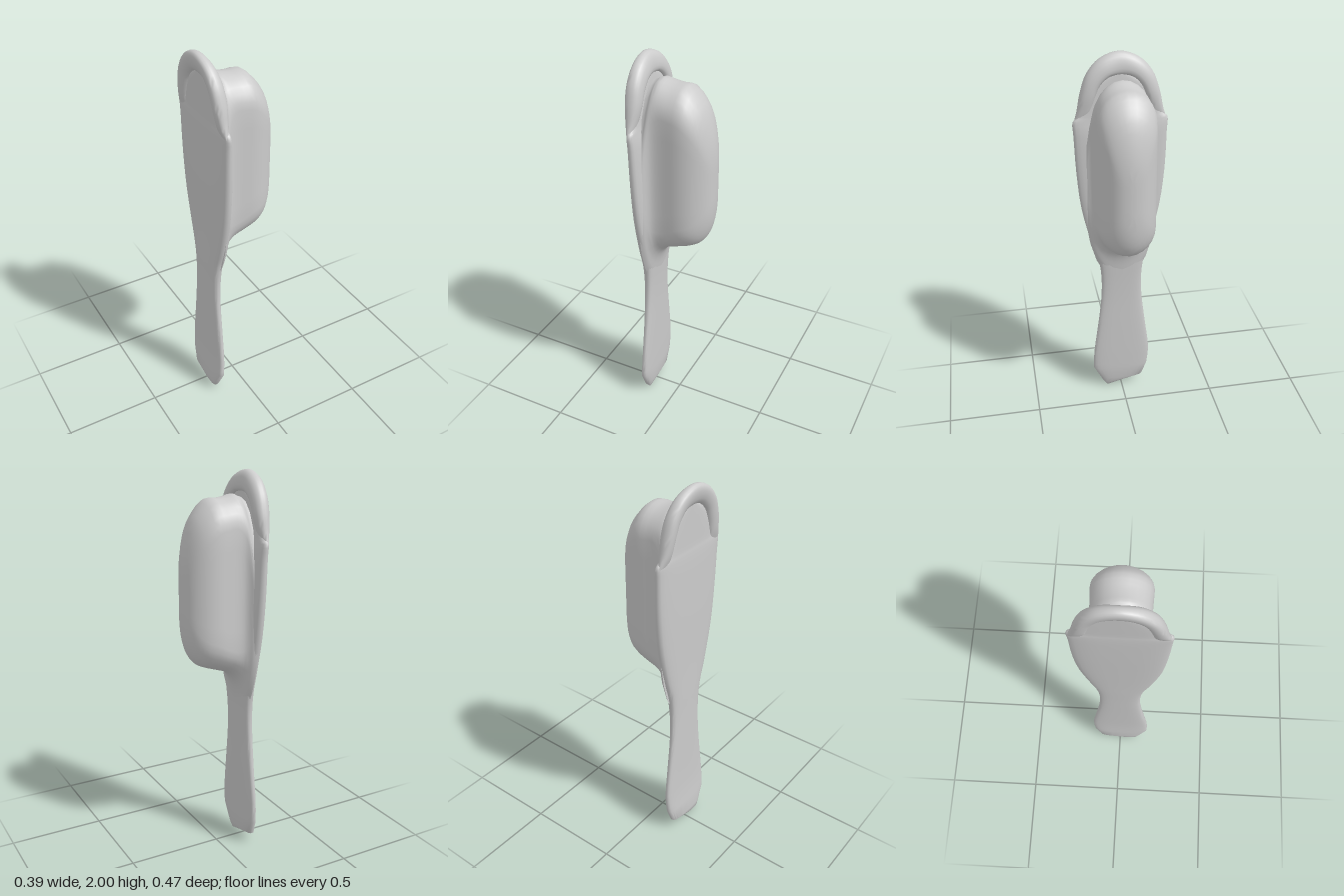
import * as THREE from 'three';
import { toCreasedNormals } from 'three/addons/utils/BufferGeometryUtils.js';

const material = new THREE.MeshStandardMaterial({ color: 0xcccccc });

// Catmull-Rom interpolation through rows of numbers, n steps per span
function smooth(rows, n) {
  const out = [];
  const at = (i) => rows[Math.min(Math.max(i, 0), rows.length - 1)];
  for (let i = 0; i < rows.length - 1; i++) {
    for (let s = 0; s < n; s++) {
      const t = s / n;
      out.push(rows[i].map((b, k) => {
        const a = at(i - 1)[k], c = at(i + 1)[k], d = at(i + 2)[k];
        return b + 0.5 * t * (c - a + t * (2 * a - 5 * b + 4 * c - d + t * (3 * (b - c) + d - a)));
      }));
    }
  }
  out.push(rows[rows.length - 1]);
  return out;
}

// Skin over closed rings, each counter-clockwise seen from the far end, with both ends capped
function loft(name, rings, crease) {
  const n = rings[0].length, index = [];
  const points = rings.flat();
  for (let i = 0; i < rings.length - 1; i++) {
    for (let j = 0; j < n; j++) {
      const a = i * n + j, b = i * n + (j + 1) % n;
      index.push(a, b, b + n, a, b + n, a + n);
    }
  }
  [0, rings.length - 1].forEach((r, end) => {
    const centre = new THREE.Vector3();
    rings[r].forEach((p) => centre.addScaledVector(p, 1 / n));
    points.push(centre);
    for (let j = 0; j < n; j++) {
      const a = r * n + j, b = r * n + (j + 1) % n;
      if (end) index.push(points.length - 1, a, b);
      else index.push(points.length - 1, b, a);
    }
  });
  const geometry = new THREE.BufferGeometry().setFromPoints(points);
  geometry.setIndex(index);
  const mesh = new THREE.Mesh(toCreasedNormals(geometry, crease), material);
  mesh.name = name;
  return mesh;
}

// One ring of n points; power below 1 squares the oval off
function ring(n, power, place) {
  return Array.from({ length: n }, (_, j) => {
    const a = (j / n) * Math.PI * 2;
    const c = Math.cos(a), s = Math.sin(a);
    return place(Math.sign(c) * Math.abs(c) ** power, Math.sign(s) * Math.abs(s) ** power);
  });
}

// Flat back plate running down into the handle: y, z left, z right, x back, x front
function backAndHandle() {
  const tip = [
    [0.005, 0.085, 0.07, -0.158, -0.15],
    [0.03, 0.105, -0.01, -0.18, -0.14],
    [0.06, 0.12, -0.12, -0.184, -0.132],
  ];
  const body = [
    [0.14, 0.16, -0.15, -0.178, -0.128],
    [0.26, 0.157, -0.158, -0.171, -0.125],
    [0.45, 0.132, -0.135, -0.169, -0.122],
    [0.62, 0.112, -0.115, -0.169, -0.12],
    [0.76, 0.108, -0.11, -0.169, -0.115],
    [0.88, 0.122, -0.122, -0.17, -0.108],
    [1.0, 0.16, -0.155, -0.17, -0.105],
    [1.2, 0.205, -0.202, -0.172, -0.105],
    [1.4, 0.225, -0.225, -0.174, -0.106],
    [1.6, 0.233, -0.232, -0.174, -0.112],
    [1.67, 0.235, -0.235, -0.172, -0.122],
    [1.7, 0.205, -0.205, -0.17, -0.125],
    [1.78, 0.17, -0.17, -0.17, -0.13],
    [1.86, 0.11, -0.11, -0.17, -0.135],
    [1.91, 0.03, -0.03, -0.17, -0.14],
  ];
  const rings = [...tip, ...smooth(body, 3)].map(([y, l, r, b, f]) =>
    ring(28, 0.65, (u, v) => new THREE.Vector3((b + f) / 2 + v * (f - b) / 2, y, (l + r) / 2 + u * (l - r) / 2)));
  return loft('backAndHandle', rings, 0.9);
}

// Domed bristle block flaring out of the plate: x, half width, bottom, top, end rounding
function bristleBlock() {
  const rows = smooth([
    [-0.135, 0.19, 0.74, 1.87, 0.5],
    [-0.118, 0.182, 0.78, 1.875, 0.45],
    [-0.108, 0.168, 0.85, 1.88, 0.33],
    [-0.098, 0.155, 0.9, 1.885, 0.24],
    [-0.08, 0.142, 0.945, 1.888, 0.18],
    [-0.045, 0.136, 0.985, 1.878, 0.14],
    [0, 0.138, 1.003, 1.873, 0.14],
    [0.05, 0.141, 1.02, 1.872, 0.15],
    [0.1, 0.13, 1.038, 1.825, 0.15],
    [0.14, 0.106, 1.07, 1.765, 0.15],
    [0.17, 0.074, 1.13, 1.67, 0.14],
    [0.186, 0.04, 1.21, 1.58, 0.1],
    [0.192, 0.003, 1.3, 1.5, 0.06],
  ], 2);
  // Long sides are divided so the block stays evenly skinned
  const rings = rows.map(([x, w, lo, hi, r]) => {
    const pts = [];
    for (const end of [1, -1]) {
      for (let j = 0; j <= 12; j++) {
        const a = (j / 12 - 0.5) * Math.PI;
        const y = Math.cos(a) * r;
        pts.push(new THREE.Vector3(x, end > 0 ? hi - r + y : lo + r - y, end * w * Math.sin(a)));
      }
      for (let j = 1; j < 6; j++) {
        const y = THREE.MathUtils.lerp(hi - r, lo + r, j / 6);
        pts.push(new THREE.Vector3(x, end > 0 ? y : hi + lo - y, end * w));
      }
    }
    return pts;
  });
  return loft('bristleBlock', rings, 1.2);
}

// Arched lip over the head: outer z, outer y, inner z, inner y, x back, x front
function headLip() {
  const half = [
    [0.23, 1.665, 0.145, 1.68, -0.166, -0.142],
    [0.213, 1.72, 0.14, 1.725, -0.18, -0.13],
    [0.194, 1.81, 0.125, 1.785, -0.19, -0.12],
    [0.16, 1.9, 0.1, 1.845, -0.194, -0.121],
    [0.095, 1.97, 0.056, 1.885, -0.195, -0.126],
    [0, 2, 0, 1.895, -0.195, -0.133],
  ];
  const other = half.slice(0, -1).reverse().map(([oz, oy, iz, iy, b, f]) => [-oz, oy, -iz, iy, b, f]);
  // The rim narrows and leans back towards the crown
  const rings = smooth([...half, ...other], 4).map(([oz, oy, iz, iy, b, f]) =>
    ring(20, 0.85, (u, v) => new THREE.Vector3(
      (b + f) / 2 + v * (f - b) / 2 - 0.012 * u * (oy - 1.66) / 0.34,
      (oy + iy) / 2 + u * (oy - iy) / 2,
      (oz + iz) / 2 + u * (oz - iz) / 2)));
  return loft('headLip', rings, 1.0);
}

export function createModel() {
  const group = new THREE.Group();
  group.name = 'brush';
  group.add(backAndHandle(), bristleBlock(), headLip());
  return group;
}
